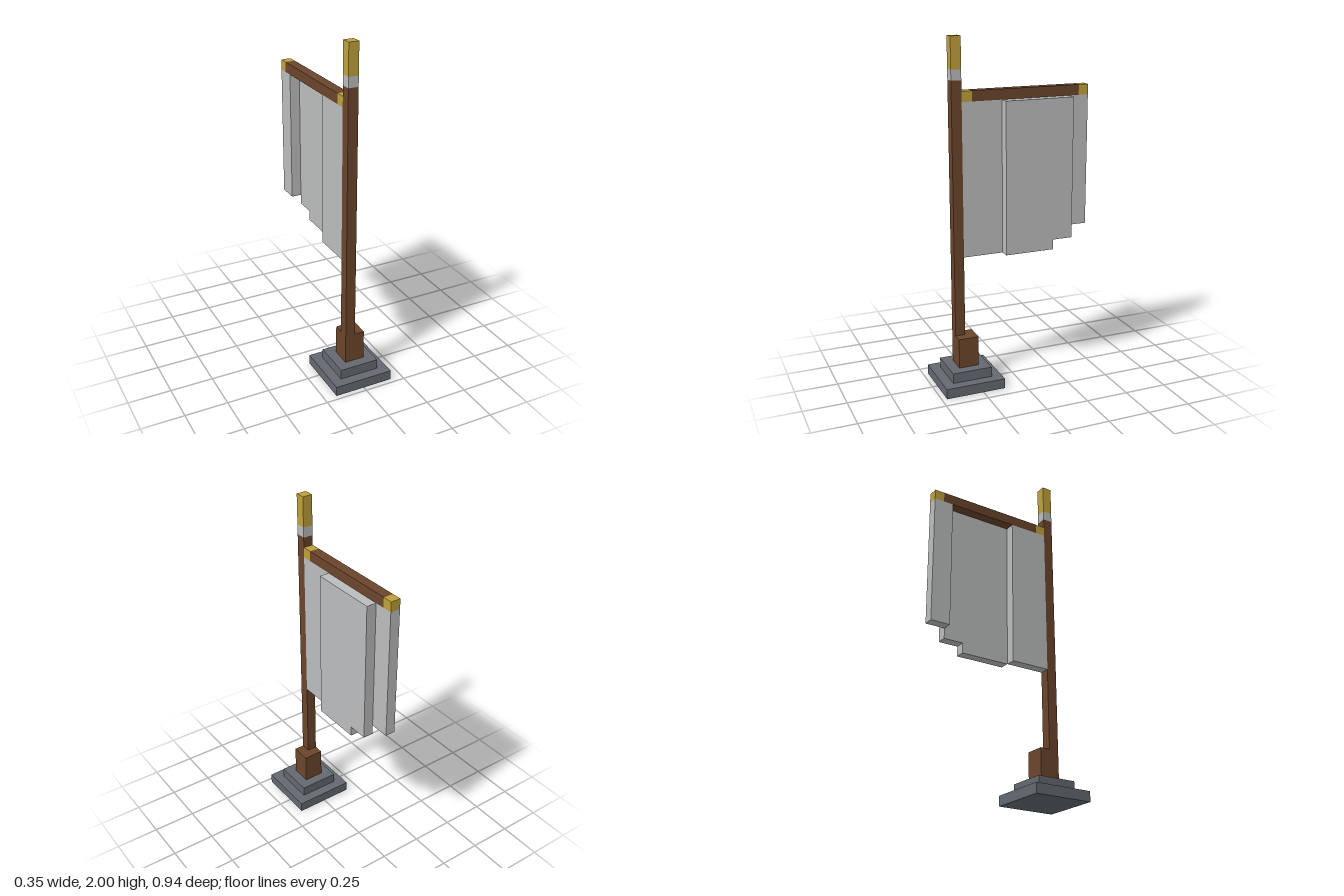
import * as THREE from 'three';

const U = 1 / 17; // one block

const material = (name, color) => {
  const m = new THREE.MeshStandardMaterial({ color });
  m.name = name;
  return m;
};

export function createModel() {
  const wood = material('brown wood', 0x6b452b);
  const gold = material('gold', 0xbfa03c);
  const cloth = material('pale grey cloth', 0xbbbcbd);
  const stone = material('slate stone', 0x636970);

  const model = new THREE.Group();
  model.name = 'bannerStand';

  // Box given by its block limits along x, y and z
  const block = (parent, name, mat, [x0, x1], [y0, y1], [z0, z1]) => {
    const geometry = new THREE.BoxGeometry((x1 - x0) * U, (y1 - y0) * U, (z1 - z0) * U);
    const mesh = new THREE.Mesh(geometry, mat);
    mesh.position.set((x0 + x1) / 2 * U, (y0 + y1) / 2 * U, (z0 + z1) / 2 * U);
    mesh.name = name;
    parent.add(mesh);
  };
  const group = (name) => {
    const g = new THREE.Group();
    g.name = name;
    model.add(g);
    return g;
  };

  // Stepped base and the wooden foot around the pole
  const base = group('base');
  block(base, 'lowerStep', stone, [-3, 3], [0, 1], [2, 8]);
  block(base, 'upperStep', stone, [-2, 2], [1, 2], [3, 7]);
  block(base, 'foot', wood, [-1, 1], [2, 5], [4, 6]);

  // Upright pole with collar and gold tip
  const pole = group('pole');
  block(pole, 'poleShaft', wood, [-1, 0], [5, 30], [5, 6]);
  block(pole, 'poleCollar', cloth, [-1, 0], [30, 31], [5, 6]);
  block(pole, 'poleTip', gold, [-1, 0], [31, 34], [5, 6]);

  // Crossbar with gold ends
  const bar = group('crossbar');
  block(bar, 'barInnerCap', gold, [-1, 0], [28, 29], [4, 5]);
  block(bar, 'barShaft', wood, [-1, 0], [28, 29], [-7, 4]);
  block(bar, 'barOuterCap', gold, [-1, 0], [28, 29], [-8, -7]);

  // Hanging cloth: the middle billows to one side, the hem steps up
  const banner = group('banner');
  block(banner, 'innerPanel', cloth, [-1, 0], [13, 28], [1, 5]);
  block(banner, 'middlePanel', cloth, [0, 1], [13, 28], [-4, 1]);
  block(banner, 'middlePanelShort', cloth, [0, 1], [14, 28], [-6, -4]);
  block(banner, 'outerPanel', cloth, [-1, 0], [15, 28], [-8, -6]);

  return model;
}
